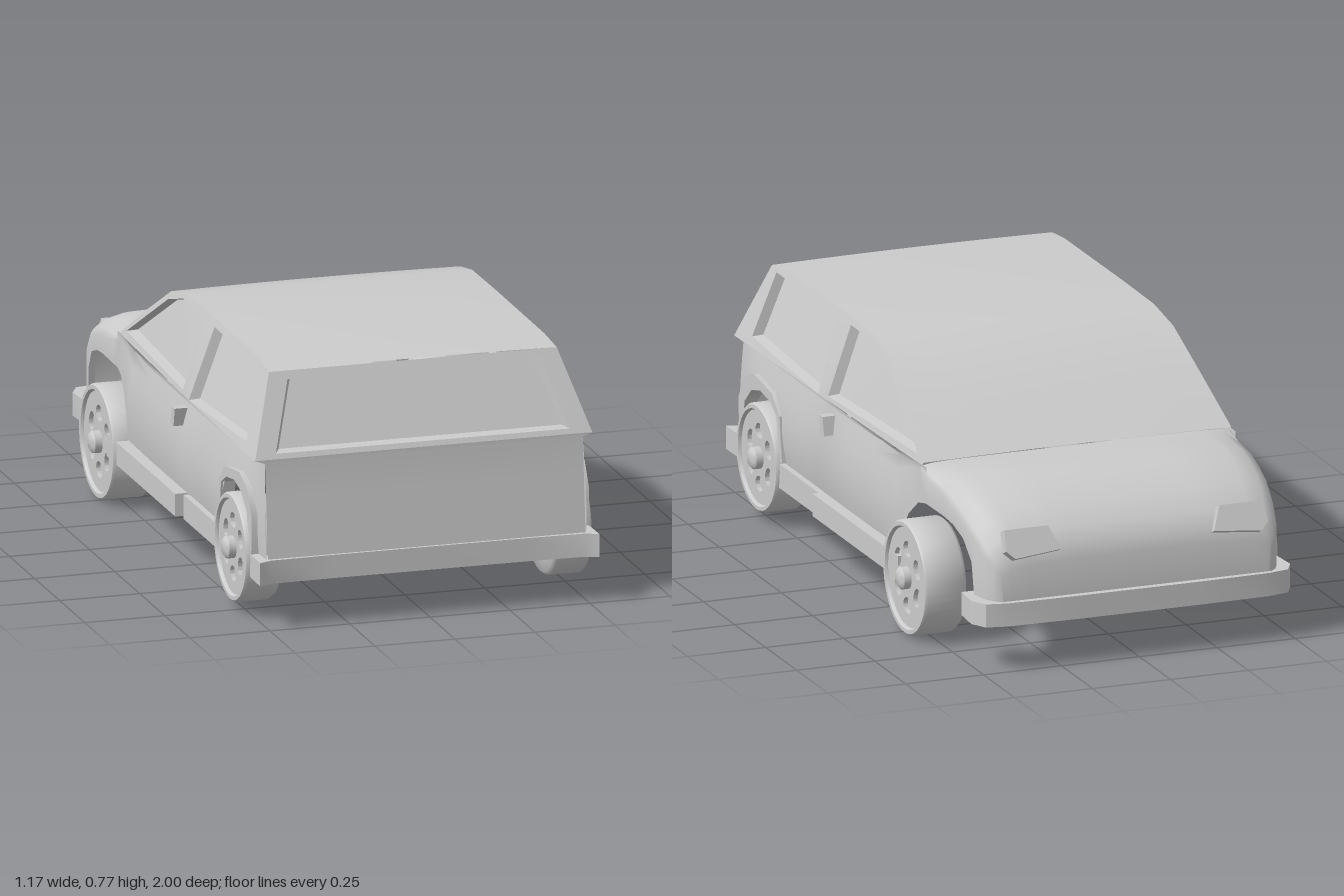
import * as THREE from 'three';
import { toCreasedNormals } from 'three/addons/utils/BufferGeometryUtils.js';

const grey = new THREE.MeshStandardMaterial({ color: 0xcccccc, side: THREE.DoubleSide });
const clamp = THREE.MathUtils.clamp;
const pts = (a) => a.map(([x, y]) => new THREE.Vector2(x, y));

function add(group, name, geometry, crease = 0.7) {
  const mesh = new THREE.Mesh(toCreasedNormals(geometry, crease), grey);
  mesh.name = name;
  group.add(mesh);
  return mesh;
}

// Surface through rows of [x, y, z] points
function sheet(rows) {
  const n = rows[0].length, index = [];
  for (let i = 0; i < rows.length - 1; i++) {
    for (let j = 0; j < n - 1; j++) {
      const a = i * n + j, b = a + n;
      index.push(a, b, a + 1, b, b + 1, a + 1);
    }
  }
  const g = new THREE.BufferGeometry();
  g.setAttribute('position', new THREE.Float32BufferAttribute(rows.flat(2), 3));
  g.setIndex(index);
  g.computeVertexNormals();
  return g;
}

// Flat shape bent into place by map(u, v, depth)
function mapped(shape, map, depth) {
  const g = new THREE.ShapeGeometry(shape), p = g.attributes.position;
  for (let i = 0; i < p.count; i++) p.setXYZ(i, ...map(p.getX(i), p.getY(i), depth));
  g.computeVertexNormals();
  return g;
}

// Frame with window openings, each holding a recessed pane
function windowPanel(group, name, outline, holes, map) {
  const frame = new THREE.Shape(pts(outline));
  for (const hole of holes) {
    frame.holes.push(new THREE.Path(pts(hole)));
    const cu = hole.reduce((s, p) => s + p[0], 0) / hole.length;
    const cv = hole.reduce((s, p) => s + p[1], 0) / hole.length;
    const inner = hole.map(([u, v]) => [cu + (u - cu) * 0.96, cv + (v - cv) * 0.95]);
    const ring = (a, d) => [...a, a[0]].map(([u, v]) => map(u, v, d));
    add(group, name + 'Pane', mapped(new THREE.Shape(pts(inner)), map, 0.03));
    add(group, name + 'Reveal', sheet([ring(hole, 0), ring(inner, 0.03)]));
  }
  add(group, name + 'Frame', mapped(frame, map, 0));
}

// Plan outline (x, z) given height
function planExtrude(outline, top, height) {
  const g = new THREE.ExtrudeGeometry(new THREE.Shape(pts(outline)), { depth: height, bevelEnabled: false });
  return g.rotateX(Math.PI / 2).translate(0, top, 0);
}

// Side outline (z, y) given thickness inward from outerX
function sideExtrude(shape, outerX, depth) {
  const g = new THREE.ExtrudeGeometry(shape, { depth, bevelEnabled: false, curveSegments: 20 });
  return g.rotateY(-Math.PI / 2).translate(outerX, 0, 0);
}

const box = (x0, x1, y0, y1, z0, z1) => new THREE.BoxGeometry(x1 - x0, y1 - y0, z1 - z0)
  .translate((x0 + x1) / 2, (y0 + y1) / 2, (z0 + z1) / 2);

// Half width of the cabin, and of the body below the belt line
const cabinX = (z, y) => 0.527 - 0.32 * (y - 0.51) - 0.03 * clamp((-z - 0.1) / 0.4, 0, 1);
function bodyX(z, y) {
  if (y > 0.505) return cabinX(z, y);
  const bulge = Math.sin(Math.PI * clamp((0.5 - y) / 0.36, 0, 1));
  const fade = clamp((z + 0.55) / 0.25, 0, 1) * clamp((1 - z) / 0.2, 0, 1);
  return 0.496 + 0.026 * bulge * fade + (z < 0.245 && z > -0.4 ? 0.006 : 0);
}

const roofLine = [[0.83, 0.752], [0.72, 0.765], [0.24, 0.768], [0, 0.765], [-0.14, 0.737], [-0.32, 0.632], [-0.5, 0.518]];

function wheel(radius, inner, outer) {
  const g = new THREE.Group();
  g.name = 'wheel';
  const r = radius;
  const tyre = new THREE.LatheGeometry(pts([
    [0, inner], [r * 0.6, inner], [r * 0.94, inner + 0.002], [r, inner + 0.014], [r, outer - 0.008], [r * 0.97, outer],
    [r * 0.9, outer], [r * 0.87, outer - 0.01], [r * 0.87, outer - 0.035], [0, outer - 0.035]]), 40);
  add(g, 'tyre', tyre.rotateZ(-Math.PI / 2), 0.9);
  // Wheel disc with six oval openings
  const disc = new THREE.Shape().absarc(0, 0, r * 0.88, 0, Math.PI * 2);
  for (let i = 0; i < 6; i++) {
    const a = Math.PI / 2 + i * Math.PI / 3;
    const hole = new THREE.Path();
    hole.absellipse(Math.cos(a) * r * 0.5, Math.sin(a) * r * 0.5, r * 0.14, r * 0.18, 0, Math.PI * 2, false, a);
    disc.holes.push(hole);
  }
  add(g, 'wheelDisc', sideExtrude(disc, outer - 0.01, 0.014));
  const hub = new THREE.LatheGeometry(pts([[0.034, outer - 0.02], [0.034, outer + 0.012], [0.025, outer + 0.02], [0, outer + 0.021]]), 20);
  add(g, 'hubCap', hub.rotateZ(-Math.PI / 2));
  return g;
}

// Parts of one flank, built on +x
function buildSide() {
  const side = new THREE.Group();

  // Lower flank: each station is [z, lower edge]
  const stations = [[0.96, 0.2], [0.9, 0.2], [0.88, 0.3], [0.84, 0.355], [0.78, 0.39], [0.7, 0.4], [0.62, 0.375],
    [0.58, 0.3], [0.57, 0.14], [0.4, 0.14], [0.25, 0.14], [0.24, 0.15], [0.05, 0.15], [-0.15, 0.15], [-0.34, 0.15],
    [-0.36, 0.24], [-0.42, 0.34], [-0.48, 0.39], [-0.53, 0.4]];
  add(side, 'bodySide', sheet(stations.map(([z, low], i) => {
    const ys = [0.512, 0.5];
    for (let k = 1; k <= 8; k++) ys.push(0.5 + (low - 0.5) * k / 8);
    return ys.map((y) => [bodyX(z, y), y, i ? z : 0.94 + 0.1 * Math.max(0, 0.5 - y)]);
  })));

  // Cabin side with two windows
  const outline = [[0.94, 0.51], ...roofLine, [-0.5, 0.51]];
  const rearWindow = [[0.82, 0.54], [0.785, 0.742], [0.295, 0.745], [0.27, 0.518]];
  const doorWindow = [[0.2, 0.53], [0.19, 0.747], [-0.02, 0.747], [-0.145, 0.712], [-0.45, 0.533]];
  windowPanel(side, 'cabinSide', outline, [rearWindow, doorWindow], (z, y, d) => [cabinX(z, y) - d, y, z]);

  // Sills
  add(side, 'doorSill', box(0.48, 0.556, 0.15, 0.22, -0.45, 0.235));
  add(side, 'rearSill', box(0.48, 0.53, 0.14, 0.215, 0.235, 0.57));

  // Rear wheel arch lip
  const lip = [[0.9, 0.2], [0.905, 0.33], [0.86, 0.405], [0.78, 0.435], [0.64, 0.415], [0.575, 0.36], [0.555, 0.22],
    [0.575, 0.22], [0.6, 0.355], [0.65, 0.385], [0.73, 0.397], [0.8, 0.38], [0.855, 0.33], [0.885, 0.2]];
  add(side, 'rearArch', sideExtrude(new THREE.Shape(pts(lip)), 0.527, 0.045));

  // Door handle
  const handle = [[0.205, 0.475], [0.175, 0.475], [0.163, 0.418], [0.193, 0.418]];
  add(side, 'doorHandle', sideExtrude(new THREE.Shape(pts(handle)), 0.548, 0.045));

  // Headlight lying on the sloping nose
  const lamp = new THREE.Shape(pts([[-0.09, -0.03], [0.06, -0.045], [0.085, -0.02], [0.08, 0.045], [-0.06, 0.045]]));
  const lampGeo = new THREE.ExtrudeGeometry(lamp, { depth: 0.035, bevelEnabled: false });
  const headlight = add(side, 'headlight', lampGeo.rotateY(Math.PI).scale(-1, 1, 1));
  headlight.geometry.rotateX(0.45);
  headlight.position.set(0.335, 0.372, -0.942);

  // Wheels
  const front = wheel(0.175, 0.43, 0.565);
  front.position.set(0, 0.175, -0.525);
  const rear = wheel(0.165, 0.425, 0.54);
  rear.position.set(0, 0.19, 0.73);
  side.add(front, rear);
  return side;
}

export function createModel() {
  const car = new THREE.Group();
  car.name = 'car';

  const left = buildSide(), right = buildSide();
  left.name = 'leftSide';
  right.name = 'rightSide';
  right.scale.x = -1;
  car.add(left, right);

  // Roof and windscreen
  const across = [-1, -0.75, -0.5, -0.25, 0, 0.25, 0.5, 0.75, 1];
  add(car, 'roofAndWindscreen', sheet(roofLine.map(([z, y]) =>
    across.map((t) => [t * cabinX(z, y), y + 0.004 * (1 - t * t), z]))));

  // Bonnet, front wings and nose: [z, top, half width, shoulder drop, lower edge]
  const nose = [[-0.49, 0.516, 0.497, 0.012, 0.4], [-0.56, 0.518, 0.5, 0.04, 0.402], [-0.67, 0.522, 0.498, 0.06, 0.402],
    [-0.74, 0.51, 0.495, 0.07, 0.395], [-0.81, 0.487, 0.49, 0.07, 0.37], [-0.86, 0.46, 0.483, 0.07, 0.31],
    [-0.875, 0.45, 0.48, 0.07, 0.2], [-0.93, 0.41, 0.468, 0.07, 0.2], [-0.96, 0.365, 0.452, 0.06, 0.2],
    [-0.975, 0.32, 0.435, 0.04, 0.2], [-0.978, 0.205, 0.43, 0.003, 0.2]];
  add(car, 'bonnetAndNose', sheet(nose.map(([z, top, w, drop, low]) => {
    const half = [[0, top], [0.45 * w, top], [0.8 * w, top - 0.08 * drop], [0.92 * w, top - 0.3 * drop],
      [0.985 * w, top - 0.65 * drop], [w, top - drop], [w, low]];
    return [...half.slice(1).reverse().map(([x, y]) => [-x, y, z]), ...half.map(([x, y]) => [x, y, z])];
  })), 0.9);

  // Tailgate with rear window, and panel below it
  const edge = (y) => cabinX(0.9, y);
  windowPanel(car, 'tailgate',
    [[-edge(0.51), 0.51], [edge(0.51), 0.51], [edge(0.752), 0.752], [-edge(0.752), 0.752]],
    [[[-0.46, 0.527], [0.46, 0.527], [0.395, 0.728], [-0.395, 0.728]]],
    (x, y, d) => [x, y, 0.94 - (y - 0.51) * 0.455 - d]);
  add(car, 'rearPanel', sheet([[0.512, 0.527, 0.94], [0.5, 0.496, 0.94], [0.4, 0.496, 0.95], [0.3, 0.496, 0.96], [0.2, 0.496, 0.97]]
    .map(([y, w, z]) => across.map((t) => [t * w, y, z]))));

  // Bumpers wrapping round the corners
  const mirrored = (half) => [...half, ...half.slice().reverse().map(([x, z]) => [-x, z])];
  add(car, 'frontBumper', planExtrude(mirrored([[0.44, -0.93], [0.47, -0.835], [0.505, -0.835], [0.512, -0.93], [0.485, -0.98], [0.42, -0.995], [0.2, -1]]), 0.212, 0.072));
  add(car, 'rearBumper', planExtrude(mirrored([[0.48, 0.94], [0.49, 0.89], [0.528, 0.89], [0.53, 1], [0.49, 0.982], [0.3, 0.978]]), 0.212, 0.072));
  return car;
}
